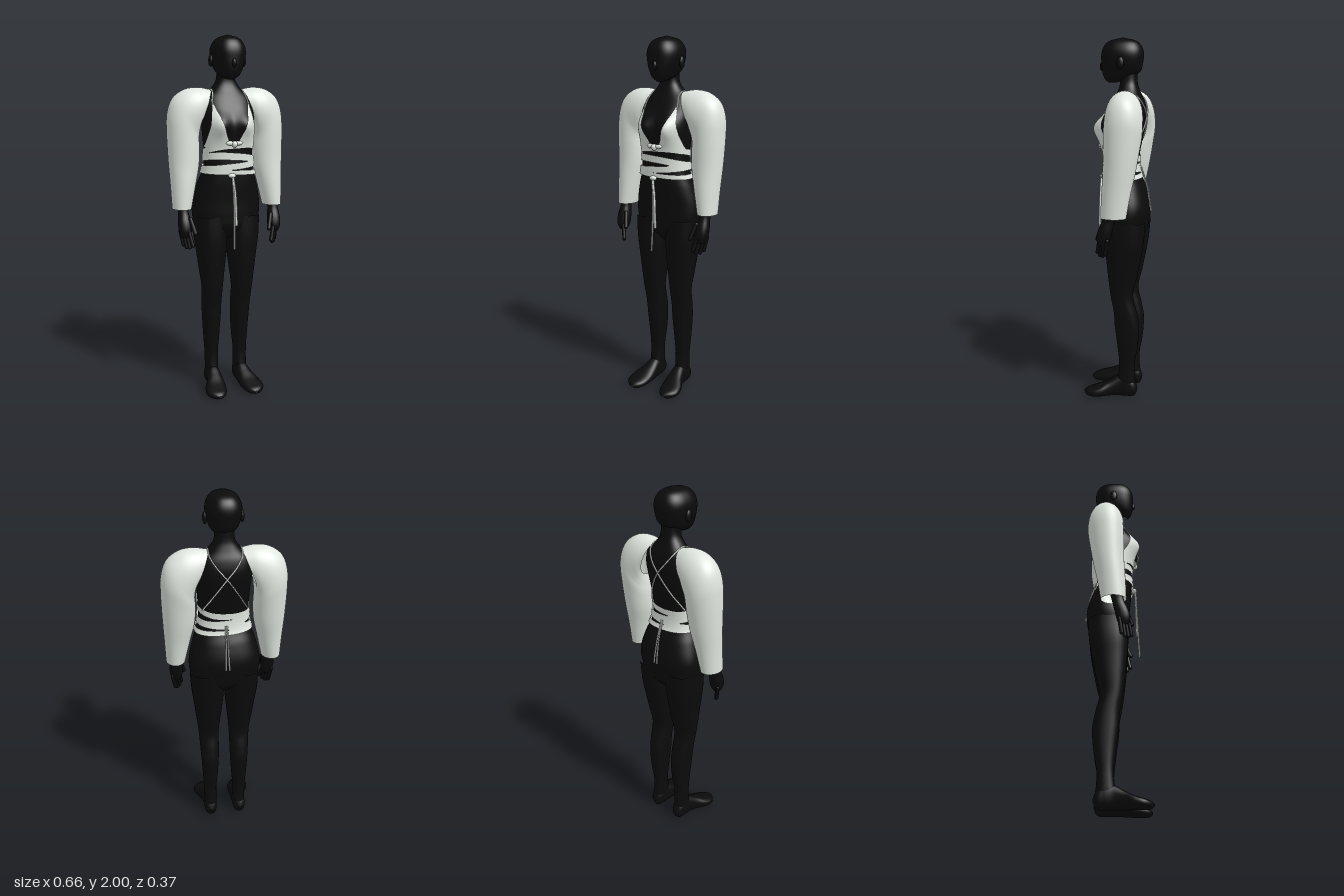
import * as THREE from 'three';
import { mergeVertices, mergeGeometries } from 'three/addons/utils/BufferGeometryUtils.js';
import { ParametricGeometry } from 'three/addons/geometries/ParametricGeometry.js';

const V = (x, y, z) => new THREE.Vector3(x, y, z);
const ROUND = 0.85; // below 1 squares the cross-sections slightly
const pw = (v, e) => Math.sign(v) * Math.pow(Math.abs(v), e);

// Smooth interpolation of rows [t, ...values] with t ascending
function sample(rows, t) {
  const n = rows.length;
  let i = 0;
  while (i < n - 2 && t > rows[i + 1][0]) i++;
  const slope = (k, c) => {
    const a = rows[Math.max(0, k - 1)], b = rows[Math.min(n - 1, k + 1)];
    return (b[c] - a[c]) / (b[0] - a[0]);
  };
  const A = rows[i], B = rows[i + 1], h = B[0] - A[0];
  const s = Math.min(1, Math.max(0, (t - A[0]) / h)), s2 = s * s, s3 = s2 * s;
  return A.map((_, c) => c === 0 ? t
    : (2 * s3 - 3 * s2 + 1) * A[c] + (s3 - 2 * s2 + s) * h * slope(i, c)
    + (3 * s2 - 2 * s3) * B[c] + (s3 - s2) * h * slope(i + 1, c));
}

function reverse(geo) {
  const ix = geo.index.array;
  for (let i = 0; i < ix.length; i += 3) [ix[i], ix[i + 1]] = [ix[i + 1], ix[i]];
  geo.computeVertexNormals();
  return geo;
}

// Smooth surface from f(u, v) -> Vector3
function surface(f, nu, nv) {
  let g = new ParametricGeometry((u, v, p) => p.copy(f(u, v)), nu, nv);
  g.deleteAttribute('uv');
  g.deleteAttribute('normal');
  g = mergeVertices(g, 1e-5);
  g.computeVertexNormals();
  return g;
}

// Rows [t, xMin, xMax, crossMin, crossMax]; alongZ lays the loft forward
function loft(rows, nu, nv, alongZ = false) {
  const t0 = rows[0][0], t1 = rows[rows.length - 1][0];
  const g = surface((u, v) => {
    const a = u * Math.PI * 2, t = t0 + (t1 - t0) * v;
    const [, x0, x1, c0, c1] = sample(rows, t);
    const x = (x0 + x1) / 2 + (x1 - x0) / 2 * pw(Math.sin(a), ROUND);
    const c = (c0 + c1) / 2 + (c1 - c0) / 2 * pw(Math.cos(a), ROUND);
    return alongZ ? V(x, c, t) : V(x, t, c);
  }, nu, nv);
  return alongZ ? reverse(g) : g;
}

// Torso rows [y, halfWidth, back z, front z]
const TORSO = [
  [0.89, 0.05, -0.09, 0.0], [0.95, 0.16, -0.15, 0.05], [1.02, 0.191, -0.168, 0.06],
  [1.1, 0.193, -0.176, 0.064], [1.2, 0.168, -0.15, 0.074], [1.28, 0.14, -0.115, 0.078],
  [1.37, 0.135, -0.112, 0.08], [1.46, 0.139, -0.128, 0.09], [1.54, 0.145, -0.145, 0.09],
  [1.61, 0.15, -0.15, 0.06], [1.67, 0.135, -0.138, 0.03], [1.715, 0.085, -0.118, 0.005],
  [1.76, 0.054, -0.103, -0.008], [1.83, 0.05, -0.1, 0.0]];

// Point on the torso at an angle (0 = front), pushed outward by off
function skin(a, y, off = 0) {
  const [, w, zb, zf] = sample(TORSO, y);
  const x = (w + off) * pw(Math.sin(a), ROUND), c = Math.cos(a);
  let z = (zb + zf) / 2 + ((zf - zb) / 2 + off) * pw(c, ROUND);
  if (c > 0) z += 0.036 * Math.min(1, c * 2) * Math.exp(-(((Math.abs(x) - 0.075) / 0.05) ** 2) - ((y - 1.525) / 0.065) ** 2);
  return V(x, y, z);
}
function skinAtX(x, y, front, off) {
  const s = Math.max(-1, Math.min(1, x / (sample(TORSO, y)[1] + off)));
  const a = Math.asin(pw(s, 1 / ROUND));
  return skin(front ? a : Math.PI - a, y, off);
}

const cord = (pts, r) => new THREE.TubeGeometry(new THREE.CatmullRomCurve3(pts), 32, r, 6);

function limb(a, b, r) {
  const d = b.clone().sub(a);
  const g = new THREE.CapsuleGeometry(r, d.length(), 5, 10);
  g.applyQuaternion(new THREE.Quaternion().setFromUnitVectors(V(0, 1, 0), d.clone().normalize()));
  const m = a.clone().add(b).multiplyScalar(0.5);
  return g.translate(m.x, m.y, m.z);
}

function ball(x, y, z, sx, sy, sz) {
  return new THREE.SphereGeometry(1, 16, 12).scale(sx, sy, sz).translate(x, y, z);
}

export function createModel() {
  const model = new THREE.Group();
  const black = new THREE.MeshStandardMaterial({ name: 'matteBlack', color: 0x0b0b0b });
  const white = new THREE.MeshStandardMaterial({ name: 'paleCloth', color: 0xe0e6df, side: THREE.DoubleSide });
  const add = (name, geo, mat) => {
    const m = new THREE.Mesh(geo, mat);
    m.name = name;
    model.add(m);
  };
  const pair = (name, geo, mat) => {
    add(name + 'Left', geo, mat);
    add(name + 'Right', reverse(geo.clone().scale(-1, 1, 1)), mat);
  };

  // Body and head
  add('torso', surface((u, v) => skin(u * Math.PI * 2, 0.89 + 0.94 * v), 64, 90), black);
  const headRows = [
    [1.765, 0.015, 0.02, 0.055], [1.785, 0.048, -0.05, 0.076], [1.82, 0.072, -0.112, 0.088],
    [1.87, 0.088, -0.13, 0.093], [1.92, 0.092, -0.134, 0.092], [1.96, 0.077, -0.12, 0.076],
    [1.985, 0.05, -0.09, 0.045], [2.0, 0.002, -0.025, -0.02]];
  add('head', loft(headRows.map(([y, w, b, f]) => [y, -w, w, b, f]), 40, 40), black);
  add('nose', ball(0, 1.85, 0.09, 0.013, 0.024, 0.015), black);
  pair('ear', ball(0.094, 1.865, -0.025, 0.012, 0.032, 0.02), black);

  // Legs and feet
  pair('leg', loft([
    [0.03, 0.06, 0.115, -0.11, -0.02], [0.08, 0.051, 0.123, -0.113, -0.01], [0.13, 0.05, 0.124, -0.108, -0.016],
    [0.2, 0.05, 0.125, -0.108, -0.02], [0.3, 0.042, 0.13, -0.125, -0.01], [0.42, 0.035, 0.137, -0.132, 0.005],
    [0.5, 0.033, 0.142, -0.118, 0.01], [0.6, 0.03, 0.148, -0.097, 0.028], [0.7, 0.02, 0.16, -0.118, 0.04],
    [0.8, 0.009, 0.172, -0.138, 0.05], [0.9, 0.002, 0.185, -0.155, 0.057], [1.02, 0.0, 0.19, -0.165, 0.058]], 32, 60), black);
  pair('foot', loft([
    [-0.125, 0.08, 0.095, 0.04, 0.05], [-0.11, 0.058, 0.118, 0.008, 0.09], [-0.07, 0.05, 0.125, 0, 0.125],
    [-0.02, 0.048, 0.127, 0, 0.122], [0.03, 0.045, 0.142, 0, 0.095], [0.08, 0.045, 0.166, 0, 0.068],
    [0.13, 0.055, 0.168, 0, 0.05], [0.165, 0.077, 0.142, 0.003, 0.038], [0.18, 0.1, 0.116, 0.015, 0.025]], 28, 40, true), black);

  // Forearm, palm, fingers and thumb
  pair('hand', loft([
    [0.92, 0.24, 0.28, 0.012, 0.055], [0.95, 0.226, 0.293, -0.004, 0.068], [1.0, 0.225, 0.297, -0.016, 0.06],
    [1.06, 0.236, 0.29, -0.03, 0.035], [1.12, 0.235, 0.297, -0.045, 0.025], [1.3, 0.21, 0.29, -0.09, -0.01]], 20, 24), black);
  const fingers = [0, 1, 2, 3].map(i => limb(
    V(0.282 - 0.012 * i, 0.95, 0.008 + 0.016 * i),
    V(0.268 - 0.013 * i, 0.875 - 0.013 * Math.sin(i * 1.1), 0.02 + 0.017 * i), 0.011));
  pair('fingers', mergeGeometries(fingers), black);
  pair('thumb', limb(V(0.235, 1.02, 0.045), V(0.214, 0.945, 0.074), 0.012), black);

  // Puffed sleeves: [inner x, inner y, outer x, outer y, centre z, half depth]
  const SLEEVE = [
    [0.165, 1.51, 0.085, 1.712, -0.062, 0.08], [0.16, 1.48, 0.16, 1.724, -0.063, 0.094],
    [0.157, 1.46, 0.235, 1.712, -0.065, 0.099], [0.155, 1.44, 0.298, 1.665, -0.067, 0.1],
    [0.153, 1.42, 0.327, 1.585, -0.066, 0.1], [0.153, 1.38, 0.332, 1.48, -0.06, 0.095],
    [0.16, 1.3, 0.328, 1.33, -0.05, 0.086], [0.183, 1.2, 0.322, 1.2, -0.035, 0.077],
    [0.212, 1.07, 0.317, 1.07, -0.022, 0.068]].map((r, i) => [i, ...r]);
  pair('sleeve', surface((u, v) => {
    const [, xi, yi, xo, yo, zc, hz] = sample(SLEEVE, v * 8);
    const a = u * Math.PI * 2, c = Math.cos(a);
    return V((xi + xo) / 2 + (xo - xi) / 2 * c, (yi + yo) / 2 + (yo - yi) / 2 * c, zc + hz * Math.sin(a));
  }, 40, 56), white);

  // Triangular cups
  pair('cup', surface((u, v) => {
    const inner = 0.006 + 0.092 * Math.pow(v, 0.75), outer = 0.144 - 0.04 * v;
    return skinAtX(inner + (outer - inner) * u, 1.405 + 0.23 * v, true, 0.007);
  }, 20, 24), white);

  // Wrapped waist bands: [height, front rise, sideways tilt, half height]
  [[1.387, 0.03, 0.008, 0.017], [1.337, 0.02, -0.012, 0.02],
    [1.302, 0, 0.014, 0.018], [1.27, 0, -0.006, 0.013]].forEach(([y, rise, tilt, h], i) =>
    add('waistWrap' + (i + 1), surface((u, v) => {
      const a = u * Math.PI * 2;
      return skin(a, y + rise * Math.cos(a) + tilt * Math.sin(a) + h * (2 * v - 1), 0.006 + 0.002 * i);
    }, 64, 3), white));

  // Straps over the shoulders, crossing on the back
  pair('strap', cord([
    ...[[0.103, 1.625], [0.099, 1.66], [0.09, 1.69]].map(([x, y]) => skinAtX(x, y, true, 0.004)),
    V(0.086, 1.715, -0.055),
    ...[[0.083, 1.69], [0.05, 1.64], [0, 1.58], [-0.06, 1.49], [-0.12, 1.385]].map(([x, y]) => skinAtX(x, y, false, 0.005))], 0.004), white);

  // Front bow and hanging ties
  add('bustKnot', ball(0, 1.425, 0.1, 0.016, 0.018, 0.016), white);
  pair('bustBow', ball(0.024, 1.43, 0.098, 0.024, 0.012, 0.01), white);
  add('waistKnot', ball(-0.012, 1.255, 0.094, 0.022, 0.013, 0.015), white);
  add('longTie', cord([V(-0.012, 1.255, 0.1), V(-0.006, 1.15, 0.105), V(-0.004, 1.0, 0.112), V(-0.006, 0.85, 0.12)], 0.005), white);
  add('shortTie', cord([V(-0.01, 1.255, 0.1), V(0.003, 1.15, 0.104), V(0.01, 0.98, 0.108)], 0.007), white);

  // Back ties
  [-1, 1].forEach(s => add('backTie' + (s > 0 ? 'Left' : 'Right'), cord([
    V(0.004 * s, 1.31, -0.126), V(0.006 * s, 1.2, -0.16), V(0.01 * s, 1.07, -0.182)], 0.004), white));

  return model;
}
